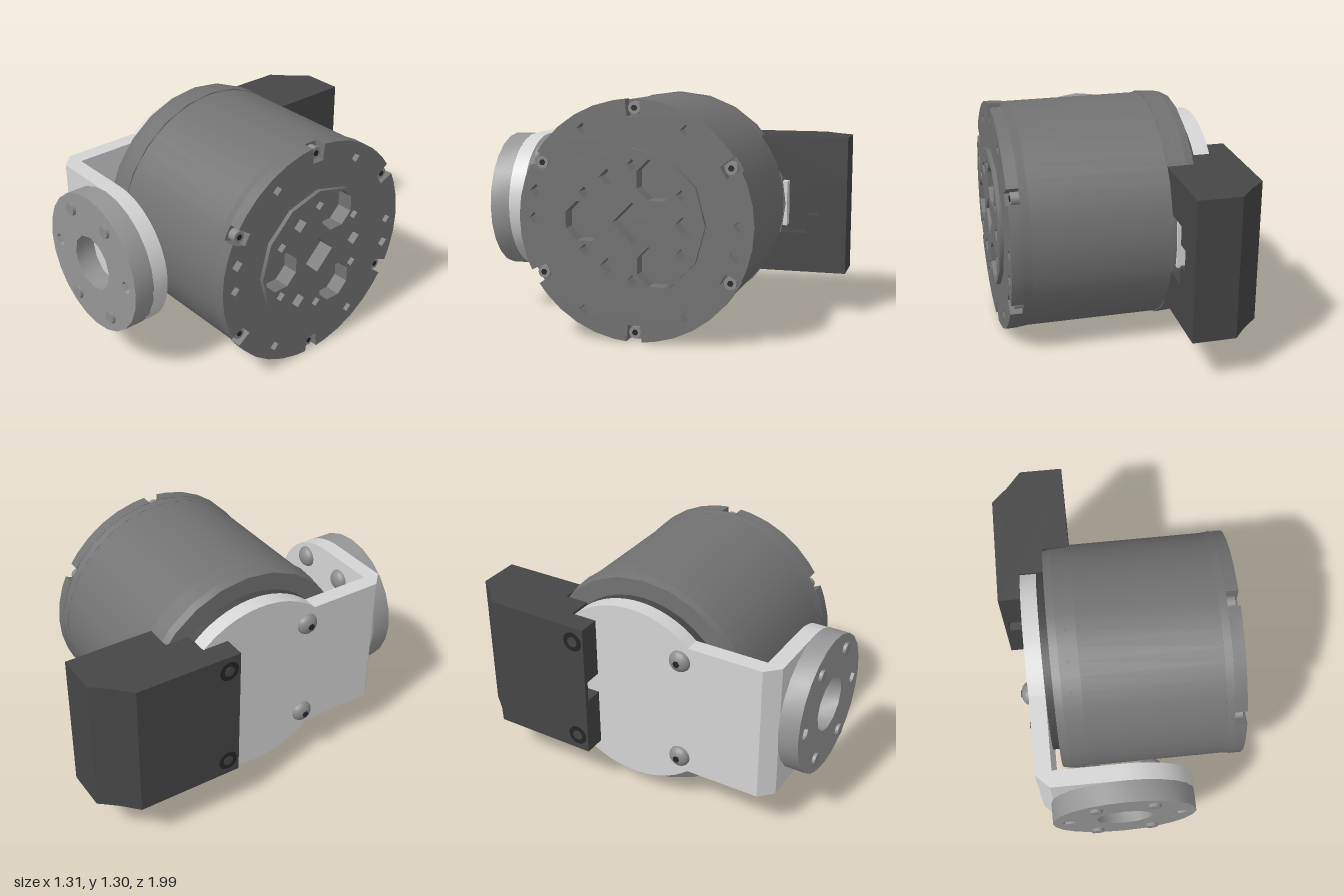
import * as THREE from 'three';
import { toCreasedNormals } from 'three/addons/utils/BufferGeometryUtils.js';

const CY = 0.652, CZ = 0.006; // motor axis

function material(name, color) {
  const m = new THREE.MeshStandardMaterial({ color });
  m.name = name;
  return m;
}

// Regular polygon points
function poly(n, r, cx = 0, cy = 0, rot = 0) {
  return Array.from({ length: n }, (_, i) => {
    const a = rot + (i * 2 * Math.PI) / n;
    return new THREE.Vector2(cx + r * Math.cos(a), cy + r * Math.sin(a));
  });
}

function extrude(shape, depth) {
  const g = new THREE.ExtrudeGeometry(shape, { depth, bevelEnabled: false, curveSegments: 24 });
  return toCreasedNormals(g, 0.6);
}

// Extrude along x: the shape is drawn in (-z, y) about the motor axis
const alongX = (shape, x0, x1) =>
  extrude(shape, x1 - x0).rotateY(Math.PI / 2).translate(x0, CY, CZ);

// Extrude along y: points are [x, z]
const alongY = (pts, y0, y1) =>
  extrude(new THREE.Shape(pts.map(([x, z]) => new THREE.Vector2(x, -z))), y1 - y0)
    .rotateX(-Math.PI / 2).translate(0, y0, 0);

// Cylinder along x between x0 and x1
const rod = (r0, r1, x0, x1, n) =>
  new THREE.CylinderGeometry(r1, r0, x1 - x0, n).rotateZ(-Math.PI / 2).translate((x0 + x1) / 2, CY, CZ);

export function createModel() {
  const model = new THREE.Group();
  const housing = material('housingGrey', 0x727272);
  const cover = material('coverDark', 0x464646);
  const light = material('bracketLight', 0xd4d4d4);
  const flangeGrey = material('flangeGrey', 0x969696);
  const steel = material('boltSteel', 0x8c8c8c);
  const black = material('recessBlack', 0x262626);

  const add = (name, geo, mat, parent = model) => {
    const mesh = new THREE.Mesh(geo, mat);
    mesh.name = name;
    parent.add(mesh);
    return mesh;
  };

  // Motor housing with end bands
  add('housing', rod(0.64, 0.64, -0.3, 0.54, 48), housing);
  add('rearBand', rod(0.642, 0.648, -0.345, -0.24, 24), housing);
  add('rearChamfer', rod(0.632, 0.642, -0.39, -0.345, 24), housing);
  add('frontBand', rod(0.642, 0.646, 0.52, 0.565, 36), housing);
  add('rearHub', rod(0.53, 0.53, -0.435, -0.38, 40), cover);

  // Holes in the end cap and its raised centre, as [sides, radius, u, v]
  const holes = [[4, 0.11, 0, 0]];
  for (let k = 0; k < 3; k++) {
    const a = Math.PI + (k * 2 * Math.PI) / 3;
    holes.push([8, 0.115, 0.265 * Math.cos(a), 0.265 * Math.sin(a)]);
    holes.push([4, 0.045, -0.275 * Math.cos(a), -0.275 * Math.sin(a)]);
  }
  for (let k = 0; k < 6; k++) {
    const a = Math.PI / 6 + (k * Math.PI) / 3;
    holes.push([4, 0.03, 0.308 * Math.cos(a), 0.308 * Math.sin(a)]);
  }
  const pierce = (shape, list) => {
    for (const [n, r, u, v] of list) {
      shape.holes.push(new THREE.Path(poly(n, r, u, v, n === 8 ? Math.PI / 8 : 0)));
    }
    return shape;
  };

  // End cap outline with six bolt notches in the rim
  const rim = [];
  const polar = (r, a) => rim.push(new THREE.Vector2(r * Math.cos(a), r * Math.sin(a)));
  for (let k = 0; k < 6; k++) {
    const a = Math.PI / 6 + (k * Math.PI) / 3;
    polar(0.648, a - 0.066);
    polar(0.558, a - 0.062);
    polar(0.558, a + 0.062);
    polar(0.648, a + 0.066);
    for (let j = 1; j < 6; j++) polar(0.648, a + (j * Math.PI) / 18);
  }
  const rimHoles = [[4, 0.035, -0.55, 0.15], [4, 0.035, 0.55, -0.15]];
  for (let k = 0; k < 6; k++) {
    const a = (k * Math.PI) / 3;
    rimHoles.push([4, 0.03, 0.565 * Math.cos(a), 0.565 * Math.sin(a)]);
  }
  add('endCap', alongX(pierce(new THREE.Shape(rim), [...holes, ...rimHoles]), 0.565, 0.632), housing);
  add('endBoss', alongX(pierce(new THREE.Shape(poly(12, 0.395, 0, 0, Math.PI / 6)), holes), 0.632, 0.656), housing);

  // Cap bolts sitting in the notches
  const capBolts = new THREE.Group();
  capBolts.name = 'capBolts';
  model.add(capBolts);
  for (let k = 0; k < 6; k++) {
    const a = Math.PI / 6 + (k * Math.PI) / 3;
    const y = 0.6 * Math.sin(a), z = -0.6 * Math.cos(a);
    add('capBolt', rod(0.034, 0.034, 0.56, 0.61, 12).translate(0, y, z), steel, capBolts);
    add('capBoltSocket', rod(0.017, 0.017, 0.609, 0.614, 6).translate(0, y, z), black, capBolts);
  }

  // L-shaped bracket: side plate, bevelled corner and front flange
  const side = new THREE.Shape();
  const meet = Math.PI - Math.asin(0.397 / 0.53);
  side.moveTo(-0.765, -0.397);
  side.lineTo(0.53 * Math.cos(meet), -0.397);
  side.absarc(0, 0, 0.53, -meet, meet, false);
  side.lineTo(-0.765, 0.397);
  add('bracketSide', alongX(side, -0.525, -0.435), light);
  add('bracketCorner', alongY([[-0.525, 0.77], [-0.525, 0.785], [-0.45, 0.86], [-0.435, 0.86], [-0.435, 0.77]], 0.255, 1.049), light);
  const front = new THREE.Shape();
  front.moveTo(-0.37, -0.397);
  front.lineTo(0, -0.397);
  front.absarc(0, 0, 0.394, -Math.PI / 2, Math.PI / 2, false);
  front.lineTo(-0.37, 0.397);
  add('bracketFront', extrude(front, 0.09).translate(-0.07, CY, 0.77), light);

  // Round output flange with a bore and two side holes
  const disc = pierce(new THREE.Shape(poly(24, 0.396)), [[12, 0.156, 0, 0], [6, 0.037, -0.31, 0], [6, 0.037, 0.31, 0]]);
  add('outputFlange', extrude(disc, 0.115).translate(-0.07, CY, 0.86), flangeGrey);

  // Domed bolt head pointing along +y before placement
  const dome = () => new THREE.SphereGeometry(0.062, 16, 6, 0, Math.PI * 2, 0, Math.PI / 2).scale(1, 0.68, 1);

  // Flange bolts: domed heads inside, hexagonal tips outside
  for (const sx of [-1, 1]) for (const sy of [-1, 1]) {
    const x = -0.07 + sx * 0.155, y = CY + sy * 0.267;
    add('flangeBoltHead', dome().rotateX(-Math.PI / 2).translate(x, y, 0.77), steel);
    add('flangeBoltTip', new THREE.CylinderGeometry(0.036, 0.038, 0.04, 8).rotateX(Math.PI / 2).translate(x, y, 0.973), steel);
  }

  // Bracket bolts and the matching counterbores on the cover
  for (const sy of [-1, 1]) {
    const y = sy * 0.307;
    add('bracketBolt', dome().rotateZ(Math.PI / 2).translate(-0.525, CY + y, 0.31), steel);
    add('bracketBoltSocket', rod(0.02, 0.02, -0.569, -0.564, 6).translate(0, y, 0.304), black);
    add('coverCounterbore', rod(0.058, 0.058, -0.655, -0.649, 16).translate(0, y, -0.285), black);
    add('coverBolt', rod(0.03, 0.03, -0.658, -0.65, 12).translate(0, y, -0.285), cover);
  }

  // Rear electronics cover in layers, with a connector recess and cable channel
  const layer = (recessEnd, channel) => [
    [-0.48, -1], [-0.24, -1],
    ...(recessEnd ? [[-0.24, recessEnd], [-0.34, recessEnd], [-0.34, -0.5]] : [[-0.24, -0.5]]),
    [-0.39, -0.5], [-0.39, -0.36], [-0.53, -0.36],
    ...(channel ? [[-0.63, -0.3], [-0.63, -0.21]] : [[-0.53, -0.21]]),
    [-0.655, -0.21], [-0.65, -0.82], [-0.56, -0.905],
  ];
  const cov = new THREE.Group();
  cov.name = 'rearCover';
  model.add(cov);
  const layers = [
    [0.255, 0.485], [0.485, 0.59, -0.765], [0.59, 0.71, -0.84, true],
    [0.71, 0.815, -0.765], [0.815, 1.049],
  ];
  for (const [y0, y1, end, channel] of layers) add('coverLayer', alongY(layer(end, channel), y0, y1), cover, cov);
  add('connector', new THREE.BoxGeometry(0.08, 0.26, 0.05).translate(-0.3, CY, -0.625), light, cov);

  return model;
}
